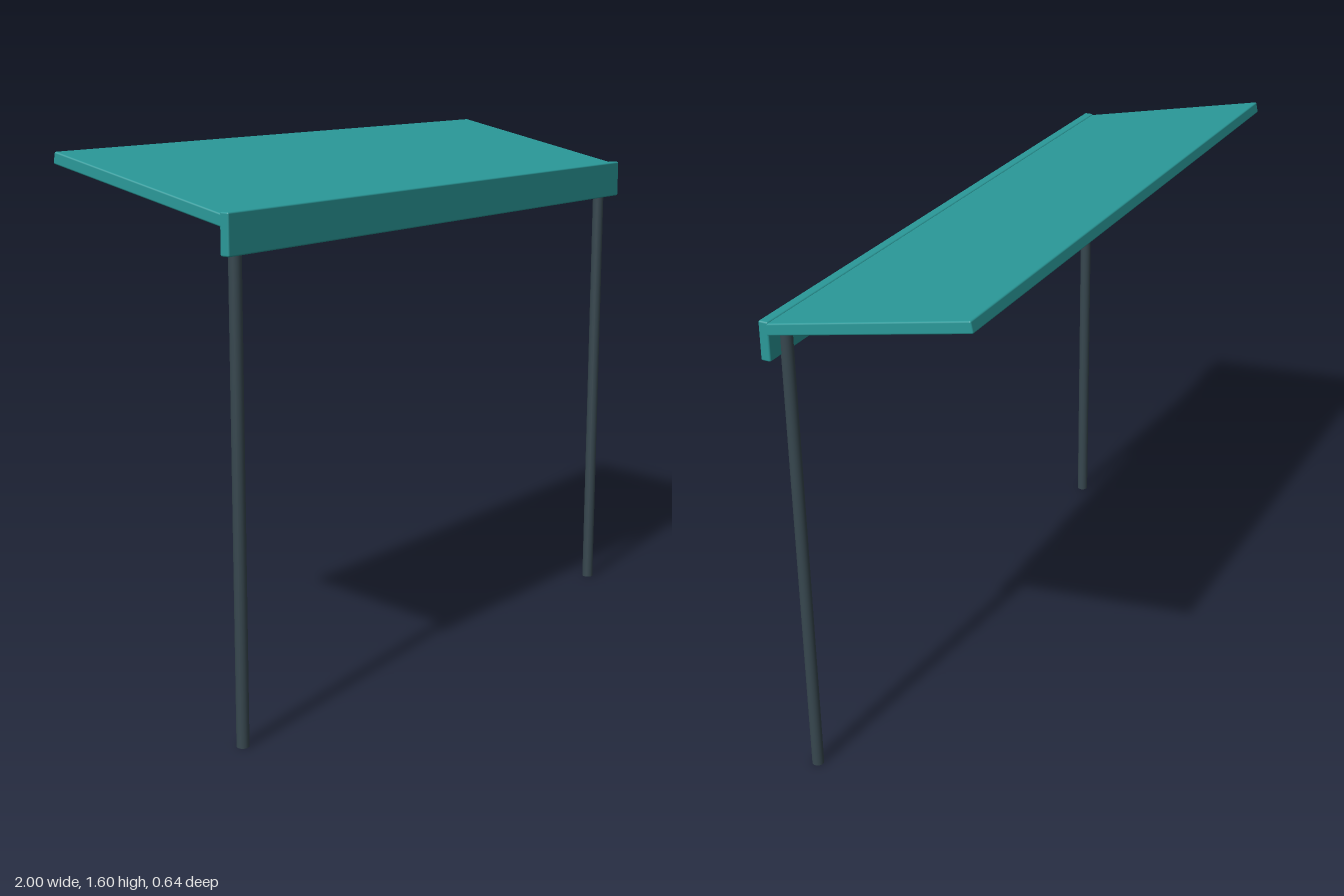
import * as THREE from 'three';
import { RoundedBoxGeometry } from 'three/addons/geometries/RoundedBoxGeometry.js';

export function createModel() {
  const model = new THREE.Group();
  model.name = 'awning';
  const teal = new THREE.MeshStandardMaterial({ color: 0x2a9999 });
  const steel = new THREE.MeshStandardMaterial({ color: 0x37474f });

  const add = (name, geometry, material, x, y, z) => {
    const mesh = new THREE.Mesh(geometry, material);
    mesh.name = name;
    mesh.position.set(x, y, z);
    model.add(mesh);
    return mesh;
  };

  // Sloping canopy, rising towards the back
  const slope = Math.PI / 15;
  const canopy = add('canopy', new RoundedBoxGeometry(2, 0.035, 0.634, 2, 0.005), teal, 0, 1.517, -0.005);
  canopy.rotation.x = slope;

  // Upright valance along the front edge
  add('valance', new RoundedBoxGeometry(2, 0.115, 0.03, 2, 0.005), teal, 0, 1.418, 0.305);

  // Round posts under the front corners
  const postHeight = 1.445;
  for (const [name, side] of [['leftPost', 1], ['rightPost', -1]]) {
    add(name, new THREE.CylinderGeometry(0.018, 0.018, postHeight, 16), steel, side * 0.933, postHeight / 2, 0.281);
  }

  return model;
}
